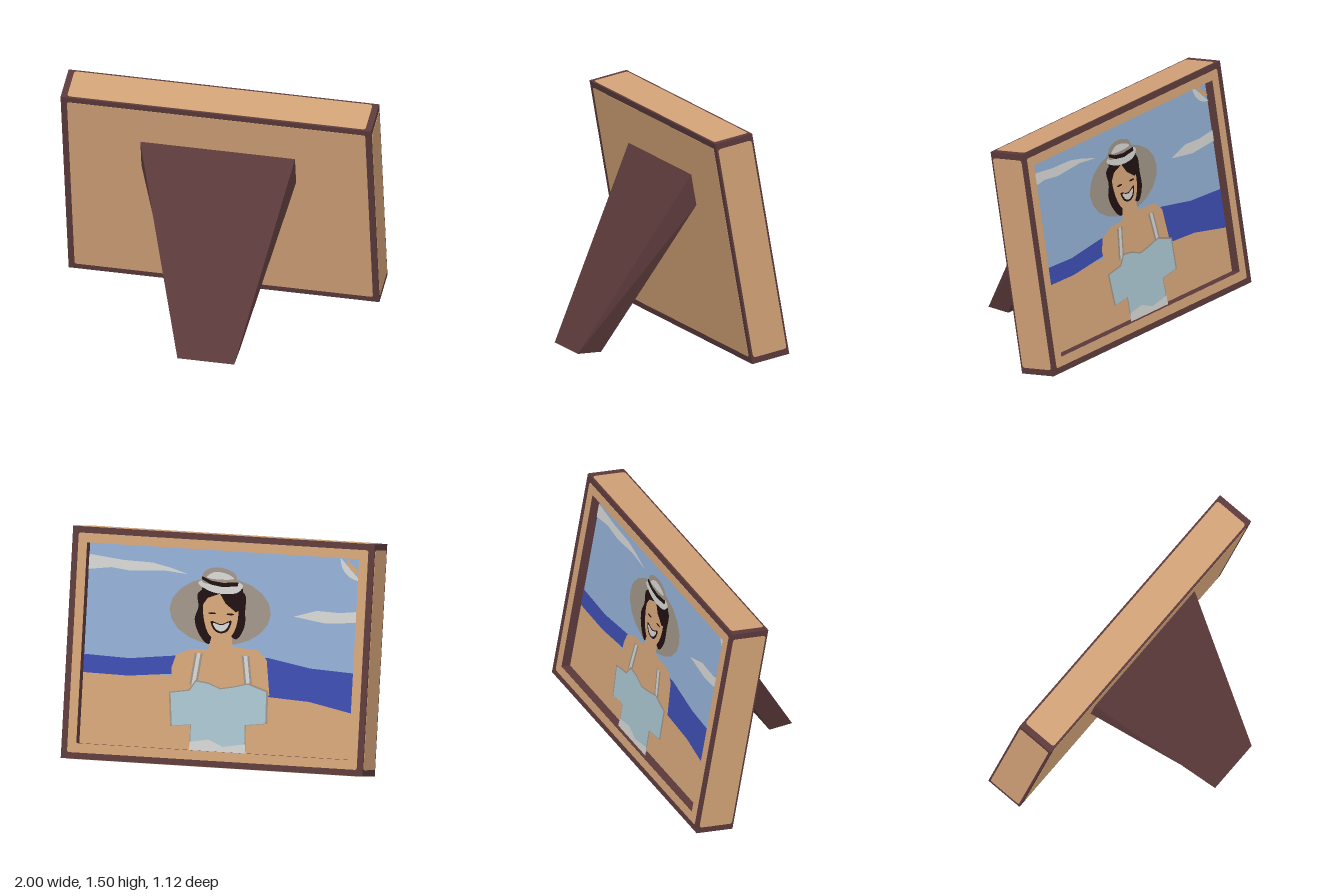
import * as THREE from 'three';

const mat = (name, color) => {
  const m = new THREE.MeshStandardMaterial({ color });
  m.name = name;
  return m;
};

export function createModel() {
  const darkWood = mat('darkWood', 0x5c3a3b);
  const tan = mat('tan', 0xd2a277);
  const sky = mat('sky', 0x90acd0);
  const sea = mat('sea', 0x3c4bad);
  const cloth = mat('paleBlueCloth', 0xa6c2cd);
  const grey = mat('warmGrey', 0x9c9185);
  const white = mat('offWhite', 0xd0d0ce);
  const hairDark = mat('hairDark', 0x200f10);

  const model = new THREE.Group();
  model.name = 'photoFrameOnStand';

  const add = (parent, name, geometry, material, x = 0, y = 0, z = 0) => {
    const m = new THREE.Mesh(geometry, material);
    m.name = name;
    m.position.set(x, y, z);
    parent.add(m);
    return m;
  };

  // Rectangle with small rounded corners
  const roundRect = (w, h, r, Type = THREE.Shape) => {
    const s = new Type(), x = w / 2, y = h / 2;
    s.moveTo(-x + r, -y);
    s.lineTo(x - r, -y); s.quadraticCurveTo(x, -y, x, -y + r);
    s.lineTo(x, y - r); s.quadraticCurveTo(x, y, x - r, y);
    s.lineTo(-x + r, y); s.quadraticCurveTo(-x, y, -x, y - r);
    s.lineTo(-x, -y + r); s.quadraticCurveTo(-x, -y, -x + r, -y);
    return s;
  };
  const rect = (w, h, Type = THREE.Shape) => new Type([[-w, -h], [w, -h], [w, h], [-w, h]]
    .map(([x, y]) => new THREE.Vector2(x / 2, y / 2)));
  const extrude = (shape, depth) => new THREE.ExtrudeGeometry(shape, { depth, bevelEnabled: false, curveSegments: 4 });

  // Leaning frame: solid body plus a rim around the recessed picture
  const W = 1.996, H = 1.464, D = 0.257, RECESS = 0.065, OW = 1.8, OH = 1.266;
  const frame = new THREE.Group();
  frame.name = 'frame';
  frame.position.set(0, 0.755, -0.306);
  frame.rotation.x = THREE.MathUtils.degToRad(10);
  model.add(frame);
  add(frame, 'frameBody', new THREE.BoxGeometry(W, H, D - RECESS), darkWood, 0, 0, RECESS / 2);
  const rim = rect(W, H);
  rim.holes.push(rect(OW, OH, THREE.Path));
  add(frame, 'frameRim', extrude(rim, RECESS), darkWood, 0, 0, -D / 2);

  // Tan inlays on the front, the four edges and the picture side
  const T = 0.002, B = 0.08;
  add(frame, 'frontInlay', extrude(roundRect(W - B, H - B, 0.015), T), tan, 0, 0, D / 2);
  for (const s of [-1, 1]) {
    const side = add(frame, s > 0 ? 'leftInlay' : 'rightInlay',
      extrude(roundRect(D - 0.025, H - B, 0.02), T), tan, s * W / 2);
    side.rotation.y = s * Math.PI / 2;
    const edge = add(frame, s > 0 ? 'topInlay' : 'bottomInlay',
      extrude(roundRect(W - B, D - 0.025, 0.02), T), tan, 0, s * H / 2);
    edge.rotation.x = -s * Math.PI / 2;
  }
  const ring = roundRect(W - B, H - B, 0.015);
  ring.holes.push(rect(OW, OH, THREE.Path));
  add(frame, 'rimInlay', extrude(ring, T), tan, 0, 0, -D / 2 - T);

  // Picture: thin layers stacked toward the viewer of the picture side
  const picture = new THREE.Group();
  picture.name = 'picture';
  picture.rotation.y = Math.PI;
  picture.position.z = -D / 2 + RECESS;
  frame.add(picture);
  let layer = 0;
  const flat = (name, material, shape) =>
    add(picture, name, new THREE.ShapeGeometry(shape, 10), material, 0, 0, 0.0015 * ++layer);
  const vecs = (pts) => pts.map(([x, y]) => new THREE.Vector2(x, y));
  const poly = (name, material, pts) => flat(name, material, new THREE.Shape(vecs(pts)));
  const blob = (name, material, pts) => {
    const c = new THREE.CatmullRomCurve3(pts.map(([x, y]) => new THREE.Vector3(x, y, 0)), true);
    return flat(name, material, new THREE.Shape(c.getPoints(pts.length * 5).slice(0, -1)));
  };
  const oval = (name, material, x, y, rx, ry) =>
    flat(name, material, new THREE.Shape().absellipse(x, y, rx, ry, 0, Math.PI * 2));
  const corner = (name, material, r) => {
    const s = new THREE.Shape();
    s.moveTo(0.9, 0.633);
    s.absarc(0.9, 0.633, r, Math.PI, Math.PI * 1.5);
    flat(name, material, s);
  };

  // Background scene
  flat('sky', sky, rect(OW, OH));
  poly('beach', tan, [[-0.9, -0.633], [0.9, -0.633], [0.9, -0.3], [-0.9, -0.12]]);
  poly('sea', sea, [[-0.9, -0.185], [-0.6, -0.19], [-0.3, -0.16], [0.32, -0.27], [0.6, -0.285], [0.9, -0.345],
    [0.9, -0.09], [0.6, -0.075], [0.32, -0.026], [-0.3, -0.046], [-0.6, -0.08], [-0.9, -0.07]]);
  poly('leftCloud', white, [[-0.9, 0.465], [-0.75, 0.485], [-0.62, 0.47], [-0.4, 0.485], [-0.24, 0.47],
    [-0.36, 0.505], [-0.48, 0.53], [-0.67, 0.535], [-0.9, 0.56]]);
  poly('rightCloud', white, [[0.47, 0.245], [0.68, 0.214], [0.9, 0.23], [0.9, 0.3], [0.77, 0.285], [0.62, 0.29]]);
  corner('sunHalo', white, 0.14);
  corner('sun', tan, 0.1);

  // Hat brim, hair and bare shoulders
  oval('hatBrim', grey, -0.015, 0.25, 0.335, 0.215);
  blob('hair', hairDark, [[-0.165, 0.36], [-0.16, 0.27], [-0.18, 0.19], [-0.14, 0.09], [-0.08, 0.04],
    [0.02, 0.12], [0.1, 0.08], [0.15, 0.16], [0.15, 0.26], [0.14, 0.37], [0, 0.41]]);
  poly('shoulders', tan, [[-0.3, -0.3], [-0.315, -0.12], [-0.29, -0.04], [-0.2, 0], [-0.08, 0.01], [-0.06, 0.1],
    [0.07, 0.1], [0.08, 0.03], [0.25, 0.02], [0.31, -0.04], [0.34, -0.26]]);
  blob('face', tan, [[-0.12, 0.31], [-0.115, 0.18], [-0.07, 0.09], [0.01, 0.06], [0.07, 0.1],
    [0.105, 0.2], [0.095, 0.29], [-0.01, 0.36]]);
  poly('fringe', hairDark, [[-0.14, 0.4], [-0.14, 0.27], [-0.1, 0.33], [-0.02, 0.36], [0.02, 0.3],
    [0.09, 0.25], [0.13, 0.27], [0.13, 0.4]]);
  for (const [x, y] of [[-0.065, 0.235], [0.055, 0.235]]) oval('eye', hairDark, x, y, 0.025, 0.006);
  blob('lips', hairDark, [[-0.07, 0.185], [0, 0.17], [0.065, 0.195], [0.045, 0.13], [0, 0.112], [-0.045, 0.13]]);
  blob('smile', white, [[-0.055, 0.175], [0, 0.163], [0.052, 0.183], [0.035, 0.14], [0, 0.124], [-0.035, 0.138]]);

  // Hat crown with its band
  blob('hatFront', white, [[-0.165, 0.42], [-0.09, 0.375], [0, 0.36], [0.1, 0.375], [0.13, 0.42], [0.06, 0.45], [-0.1, 0.455]]);
  blob('hatCrown', grey, [[-0.14, 0.43], [-0.02, 0.42], [0.09, 0.43], [0.075, 0.49], [0, 0.522], [-0.08, 0.52], [-0.13, 0.49]]);
  blob('hatHighlight', white, [[-0.11, 0.46], [0, 0.45], [0.07, 0.46], [0.03, 0.485], [-0.06, 0.495]]);
  poly('hatBand', hairDark, [[-0.14, 0.445], [-0.08, 0.415], [0, 0.403], [0.1, 0.415], [0.1, 0.44], [0, 0.43], [-0.08, 0.44], [-0.14, 0.465]]);

  // Top, straps and skirt
  for (const [x0, x1, y1] of [[-0.135, -0.16, -0.22], [0.175, 0.205, -0.22]]) {
    for (const [name, m, w] of [['strap', grey, 0.026], ['strapHighlight', white, 0.012]])
      poly(name, m, [[x1 - w, y1], [x1 + w, y1], [x0 + w, -0.02], [x0 - w, -0.02]]);
  }
  const top = [[-0.305, -0.28], [-0.285, -0.485], [-0.16, -0.47], [-0.155, -0.6], [0.2, -0.6], [0.195, -0.455],
    [0.33, -0.437], [0.325, -0.24], [0.2, -0.2], [0.1, -0.225], [0.02, -0.24], [-0.06, -0.21], [-0.14, -0.2], [-0.18, -0.26]];
  poly('topTrim', grey, top.map(([x, y]) => [x * 1.04, -0.4 + (y + 0.4) * 1.05]));
  poly('top', cloth, top);
  poly('skirt', white, [[-0.165, -0.633], [0.21, -0.633], [0.205, -0.575], [0.06, -0.6], [-0.04, -0.56], [-0.16, -0.58]]);

  // Tapered stand: a slanted foot and head joined by four flat sides
  const foot = [[-0.12, 0, 0.565], [0.245, 0, 0.565], [0.245, 0, 0.405], [-0.12, 0, 0.405]];
  const head = [[-0.5, 1.16, -0.11], [0.5, 1.16, -0.11], [0.5, 0.96, -0.145], [-0.5, 0.96, -0.145]];
  const verts = [];
  const quad = (a, b, c, d) => verts.push(...a, ...b, ...c, ...a, ...c, ...d);
  for (let i = 0; i < 4; i++) {
    const j = (i + 1) % 4;
    quad(foot[i], foot[j], head[j], head[i]);
  }
  quad(head[0], head[1], head[2], head[3]);
  quad(foot[3], foot[2], foot[1], foot[0]);
  const standGeo = new THREE.BufferGeometry();
  standGeo.setAttribute('position', new THREE.Float32BufferAttribute(verts, 3));
  standGeo.computeVertexNormals();
  add(model, 'stand', standGeo, darkWood);

  return model;
}
